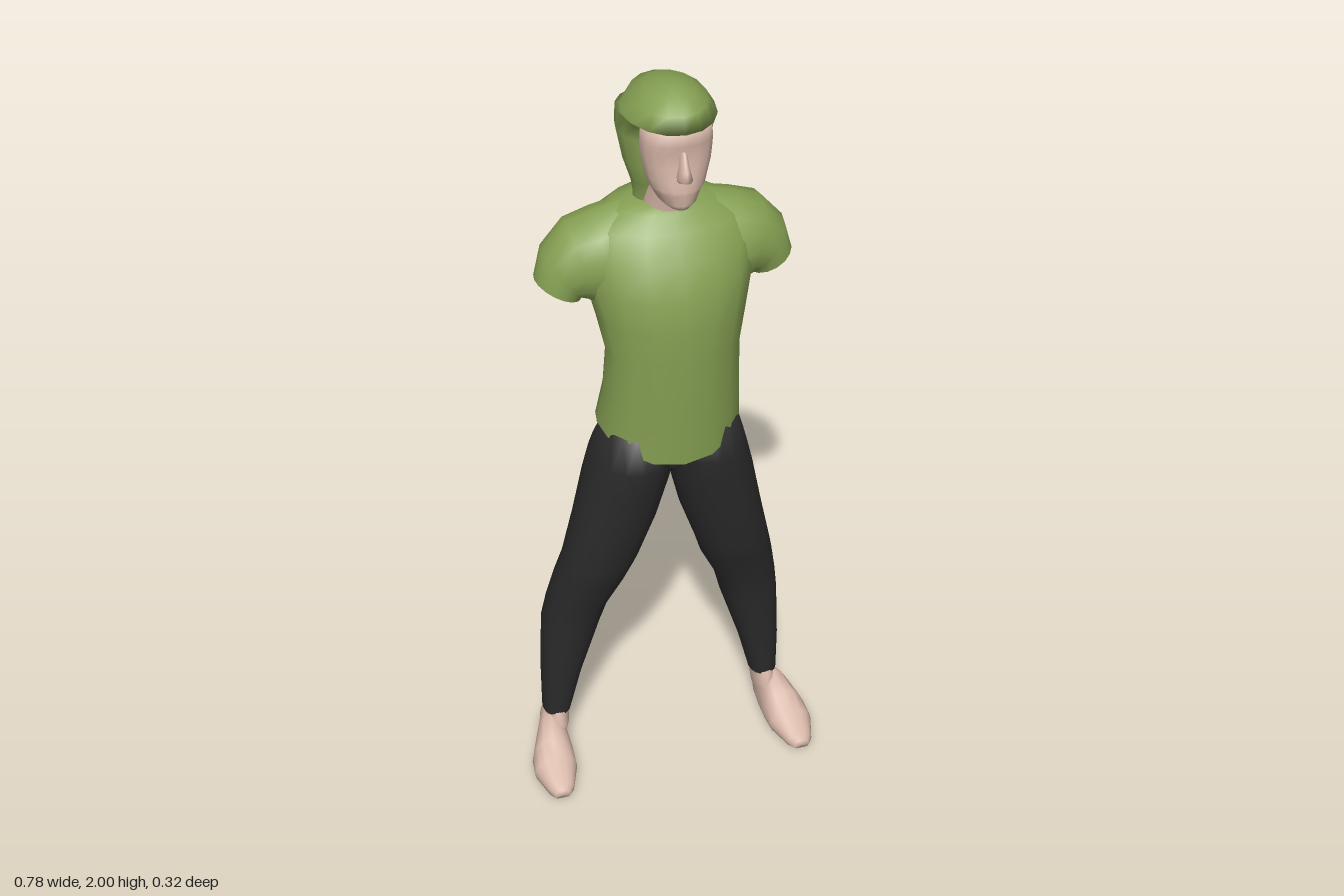
import * as THREE from 'three';

const paint = (color) => new THREE.MeshStandardMaterial({ color, roughness: 0.9, side: THREE.DoubleSide });
const SEG = 16;

// Closed loop spanning two (x, y) end points and a front/back z range; e < 1 makes it boxier
function ring(a, b, front, back, e = 1) {
  const soft = (v) => Math.sign(v) * Math.abs(v) ** e;
  return Array.from({ length: SEG }, (_, i) => {
    const t = (i / SEG) * Math.PI * 2;
    const u = (1 + soft(Math.cos(t))) / 2;
    const w = (1 + soft(Math.sin(t))) / 2;
    return [b[0] + (a[0] - b[0]) * u, b[1] + (a[1] - b[1]) * u, back + (front - back) * w];
  });
}

// Horizontal loop centred on the body
const level = (y, w, front, back, e) => ring([w, y], [-w, y], front, back, e);

// Skin over a row of loops, with optional end caps; side = -1 mirrors it in x
function loft(name, rings, material, { side = 1, start = false, end = false } = {}) {
  const pos = [], idx = [];
  const tri = (a, b, c) => idx.push(...(side > 0 ? [a, b, c] : [a, c, b]));
  rings.forEach((r) => r.forEach(([x, y, z]) => pos.push(x * side, y, z)));
  for (let r = 0; r < rings.length - 1; r++) {
    for (let i = 0; i < SEG; i++) {
      const a = r * SEG + i, b = r * SEG + ((i + 1) % SEG);
      tri(a, a + SEG, b);
      tri(b, a + SEG, b + SEG);
    }
  }
  const cap = (r, first) => {
    const centre = pos.length / 3;
    const sum = rings[r].reduce((s, p) => s.map((v, k) => v + p[k] / SEG), [0, 0, 0]);
    pos.push(sum[0] * side, sum[1], sum[2]);
    for (let i = 0; i < SEG; i++) {
      const a = r * SEG + i, b = r * SEG + ((i + 1) % SEG);
      if (first) tri(centre, a, b);
      else tri(centre, b, a);
    }
  };
  if (start) cap(0, true);
  if (end) cap(rings.length - 1, false);
  const g = new THREE.BufferGeometry();
  g.setAttribute('position', new THREE.Float32BufferAttribute(pos, 3));
  g.setIndex(idx);
  g.computeVertexNormals();
  const mesh = new THREE.Mesh(g, material);
  mesh.name = name;
  return mesh;
}

// Foot section across z: flat on the ground, domed on top
function footRing(z, inner, outer, height) {
  return Array.from({ length: SEG }, (_, i) => {
    const t = (i / SEG) * Math.PI * 2;
    const c = Math.cos(t), s = Math.sin(t);
    const base = Math.min(0.018, height * 0.4);
    return [
      (inner + outer) / 2 + ((outer - inner) / 2) * Math.sign(c) * Math.abs(c) ** 0.8,
      s > 0 ? base + (height - base) * s : base * (1 - Math.min(1, -s * 2)),
      z,
    ];
  });
}

export function createModel() {
  const model = new THREE.Group();
  model.name = 'figure';
  const cloth = paint(0x86a053), dark = paint(0x2b2b2c), skin = paint(0xd8b8a9);

  // Shirt body with a wavy hem, low at the front point and across the back
  const hem = level(1.09, 0.178, 0.145, -0.155, 0.9).map(([x, y, z], i) => {
    const s = Math.sin((i / SEG) * Math.PI * 2);
    return [x, s > 0 ? y - 0.06 * s * s : s < -0.6 ? 1.02 : y - 0.04 * -s, z];
  });
  model.add(loft('shirtBody', [
    hem,
    level(1.2, 0.17, 0.155, -0.1),
    level(1.33, 0.164, 0.165, -0.082),
    level(1.42, 0.182, 0.165, -0.112),
    level(1.5, 0.2, 0.16, -0.148),
    level(1.58, 0.21, 0.128, -0.15),
    level(1.64, 0.19, 0.085, -0.145),
    level(1.675, 0.125, 0.05, -0.13),
    level(1.695, 0.075, 0.03, -0.09),
  ], cloth, { end: true }));

  // Hips joining the trouser legs
  model.add(loft('hips', [
    level(0.935, 0.02, 0.04, -0.05),
    level(0.98, 0.1, 0.085, -0.1),
    level(1.1, 0.155, 0.11, -0.09),
  ], dark, { start: true, end: true }));

  // Hood: closed around the back, with a brow over the face
  model.add(loft('hood', [
    level(1.66, 0.085, 0.03, -0.1),
    level(1.7, 0.074, 0.025, -0.078),
    level(1.745, 0.083, 0.04, -0.072, 0.85),
    level(1.8, 0.1, 0.055, -0.098, 0.85),
    level(1.87, 0.112, 0.06, -0.125, 0.85),
    level(1.915, 0.109, 0.07, -0.13, 0.85),
    level(1.925, 0.107, 0.143, -0.13),
    level(1.96, 0.086, 0.126, -0.112),
    level(1.985, 0.056, 0.09, -0.06),
    level(1.997, 0.022, 0.055, -0.01),
  ], cloth, { end: true }));

  // Face, nose and neck
  model.add(loft('face', [
    level(1.727, 0.03, 0.125, 0.02),
    level(1.742, 0.046, 0.135, 0),
    level(1.765, 0.058, 0.132, 0),
    level(1.778, 0.064, 0.139, 0),
    level(1.8, 0.072, 0.13, 0),
    level(1.835, 0.079, 0.129, 0, 0.9),
    level(1.865, 0.083, 0.123, 0, 0.85),
    level(1.89, 0.083, 0.133, 0, 0.9),
    level(1.93, 0.08, 0.131, 0, 0.9),
  ], skin, { start: true, end: true }));
  model.add(loft('nose', [
    level(1.802, 0.014, 0.138, 0.11),
    level(1.815, 0.017, 0.165, 0.1),
    level(1.835, 0.013, 0.154, 0.1),
    level(1.875, 0.007, 0.134, 0.1),
  ], skin, { start: true, end: true }));
  model.add(loft('neck', [
    level(1.65, 0.062, 0.045, -0.06),
    level(1.69, 0.06, 0.045, -0.06),
    level(1.75, 0.06, 0.062, -0.05),
  ], skin));

  for (const side of [1, -1]) {
    const tag = side > 0 ? 'left' : 'right';

    // Short sleeve, from the cuff in to the chest
    const cuff = ring([0.313, 1.505], [0.205, 1.45], 0.035, -0.1);
    model.add(loft(tag + 'Sleeve', [
      cuff,
      ring([0.292, 1.58], [0.2, 1.452], 0.045, -0.12),
      ring([0.235, 1.645], [0.185, 1.44], 0.062, -0.135),
      ring([0.17, 1.667], [0.15, 1.42], 0.075, -0.142),
      ring([0.08, 1.69], [0.09, 1.41], 0.06, -0.13),
    ], cloth, { side }));

    // Upper arm stump just inside the cuff
    model.add(loft(tag + 'ArmStump', [
      ring([0.3, 1.507], [0.212, 1.46], 0.028, -0.093),
      ring([0.27, 1.56], [0.2, 1.48], 0.02, -0.09),
    ], skin, { side, start: true }));

    // Trouser leg rows: y, outer x, inner x, front z, back z
    const legRows = [
      [0.12, 0.33, 0.255, -0.03, -0.12],
      [0.25, 0.33, 0.222, -0.02, -0.13],
      [0.42, 0.322, 0.168, 0, -0.155],
      [0.5, 0.31, 0.146, 0.015, -0.14],
      [0.6, 0.29, 0.1, 0.045, -0.122],
      [0.67, 0.272, 0.078, 0.07, -0.11],
      [0.8, 0.243, 0.033, 0.09, -0.11],
      [0.93, 0.215, 0.001, 0.115, -0.12],
      [1.0, 0.197, -0.005, 0.125, -0.12],
      [1.1, 0.166, -0.02, 0.125, -0.08],
    ];
    model.add(loft(tag + 'TrouserLeg', legRows.map(([y, o, i, f, b]) => ring([o, y], [i, y], f, b, 0.92)),
      dark, { side, end: true }));

    // Ankle and foot, toe to heel
    model.add(loft(tag + 'Ankle', [
      ring([0.325, 0.04], [0.272, 0.04], -0.02, -0.14),
      ring([0.325, 0.09], [0.262, 0.09], -0.01, -0.128),
      ring([0.322, 0.15], [0.262, 0.15], -0.04, -0.112),
    ], skin, { side }));
    model.add(loft(tag + 'Foot', [
      footRing(0.155, 0.315, 0.355, 0.025),
      footRing(0.14, 0.3, 0.368, 0.038),
      footRing(0.07, 0.274, 0.39, 0.06),
      footRing(0.02, 0.27, 0.385, 0.088),
      footRing(-0.04, 0.272, 0.36, 0.118),
      footRing(-0.1, 0.278, 0.337, 0.1),
      footRing(-0.137, 0.288, 0.327, 0.075),
      footRing(-0.15, 0.297, 0.322, 0.04),
    ], skin, { side, start: true, end: true }));
  }
  return model;
}
